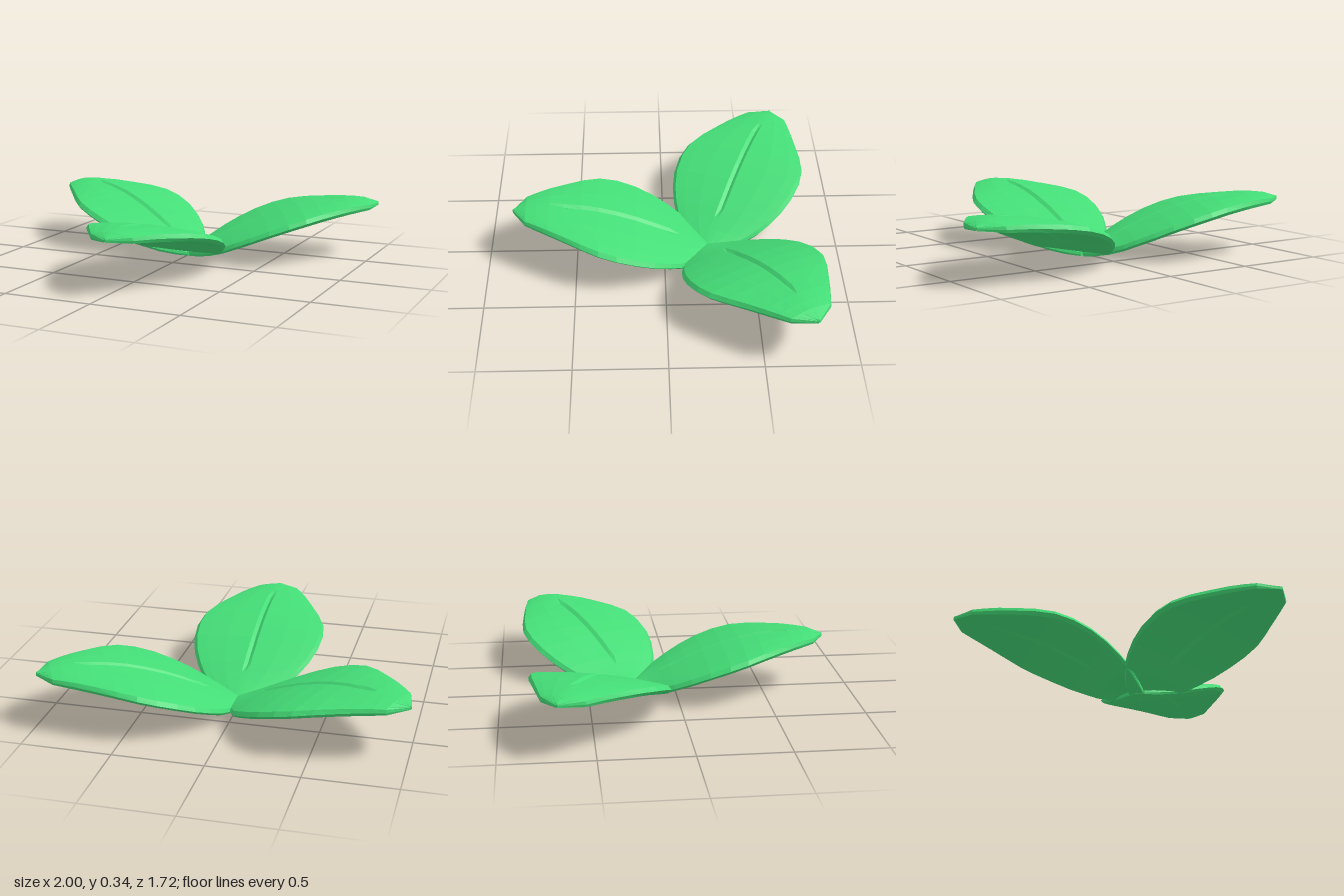
import * as THREE from 'three';

// Leaf stations: distance from base, half width, underside height, middle thickness, vein strength
const STATIONS = [
  [-0.02, 0.05, 0.0, 0.035, 0], [0.03, 0.12, 0.01, 0.045, 0], [0.09, 0.19, 0.028, 0.053, 0],
  [0.16, 0.255, 0.055, 0.06, 0], [0.22, 0.295, 0.083, 0.063, 0.7], [0.31, 0.34, 0.122, 0.066, 1],
  [0.41, 0.37, 0.163, 0.068, 1], [0.52, 0.38, 0.2, 0.07, 1], [0.62, 0.365, 0.227, 0.071, 1],
  [0.72, 0.318, 0.246, 0.071, 1], [0.82, 0.258, 0.259, 0.07, 0.8], [0.9, 0.21, 0.268, 0.068, 0],
  [0.97, 0.165, 0.274, 0.062, 0], [1.03, 0.125, 0.279, 0.052, 0], [1.105, 0.004, 0.289, 0.02, 0],
];

// Closed cross-section: over the domed top, round the rim, back along the hollow underside
function section([s, w, y, t, vein]) {
  const v = Math.min(0.02, w * 0.3);
  const xs = [-0.95 * w, -0.78 * w, -0.45 * w, -v, 0, v, 0.45 * w, 0.78 * w, 0.95 * w];
  const rim = t * 0.58;
  const top = xs.map((x) => {
    const u = x / w;
    return [x, y + rim + (t - rim) * (1 - u * u) - (x === 0 ? 0.016 * vein : 0), s];
  });
  const under = xs.map((x) => {
    const u = x / w;
    return [x, y + t * 0.22 * (1 - u * u) - (x === 0 ? 0.01 * vein : 0), s];
  }).reverse();
  return [...top, [w, y + rim * 0.5, s], ...under, [-w, y + rim * 0.5, s]];
}

// Loft the cross-sections and cap both ends
function leafGeometry() {
  const rings = STATIONS.map(section);
  const n = rings[0].length;
  const index = [];
  for (let i = 0; i < rings.length - 1; i++) {
    for (let j = 0; j < n; j++) {
      const a = i * n + j, b = i * n + (j + 1) % n;
      index.push(a, a + n, b, b, a + n, b + n);
    }
  }
  const last = (rings.length - 1) * n;
  for (let j = 1; j < n - 1; j++) {
    index.push(0, j, j + 1, last, last + j + 1, last + j);
  }
  const geometry = new THREE.BufferGeometry();
  geometry.setAttribute('position', new THREE.Float32BufferAttribute(rings.flat(2), 3));
  geometry.setIndex(index);
  geometry.computeVertexNormals();
  return geometry;
}

export function createModel() {
  const group = new THREE.Group();
  group.name = 'threeLeafSprout';
  const material = new THREE.MeshStandardMaterial({
    color: 0x44dd77, flatShading: true, side: THREE.DoubleSide,
  });
  const geometry = leafGeometry();

  // Three equal leaves fanned around the shared base
  for (const [name, degrees] of [['frontLeaf', 0], ['leftLeaf', 117.5], ['rightLeaf', -113.5]]) {
    const leaf = new THREE.Mesh(geometry, material);
    leaf.name = name;
    leaf.rotation.y = THREE.MathUtils.degToRad(degrees);
    leaf.position.set(0.012, 0, -0.25);
    group.add(leaf);
  }
  return group;
}
